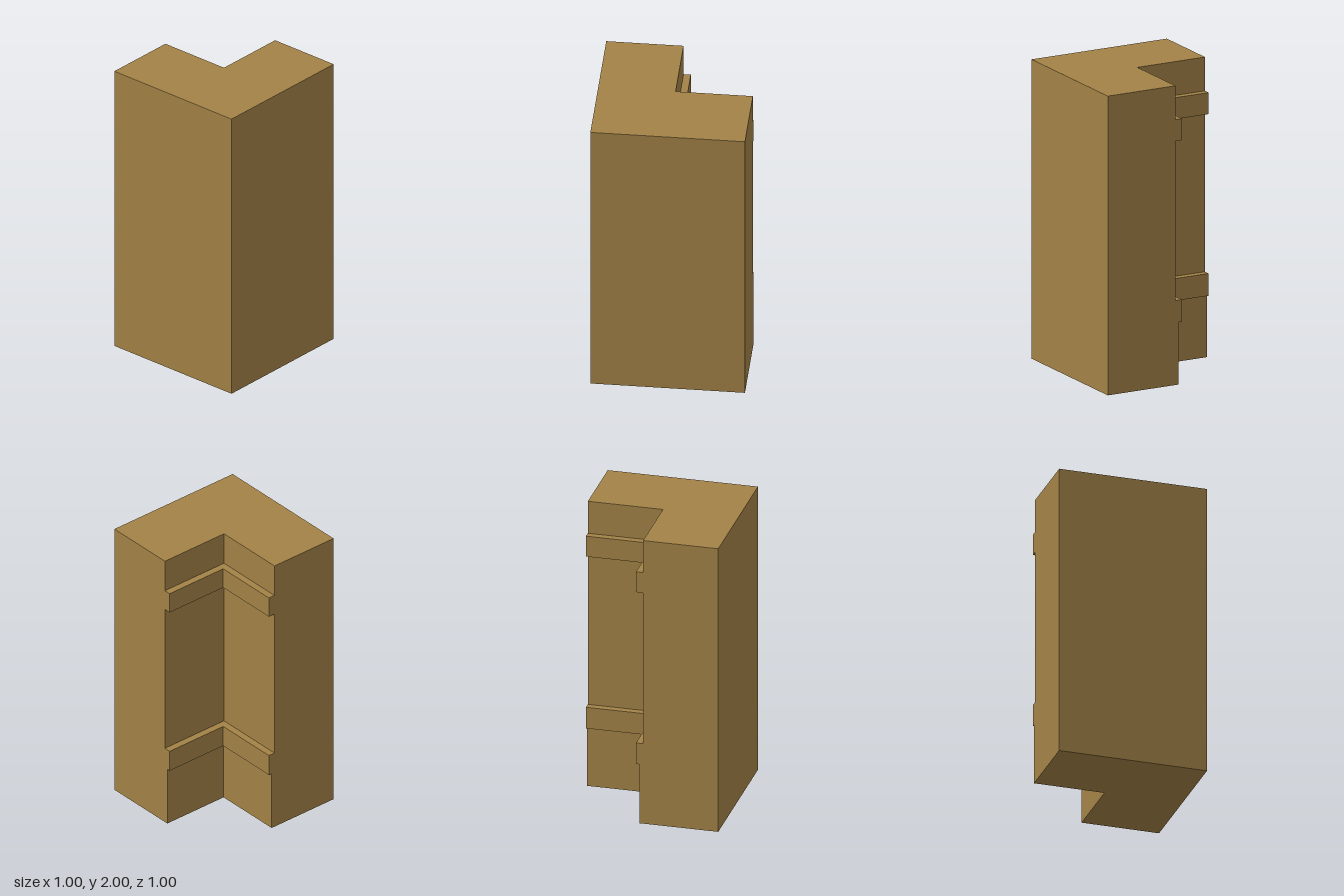
import * as THREE from 'three';

// L-shaped plan; d is how far the inner faces stand out into the corner
const plan = (y, d) => [
  [-0.5, -0.5], [d, -0.5], [d, -d], [0.5, -d], [0.5, 0.5], [-0.5, 0.5],
].map(([x, z]) => [x, y, z]);

// Tiers from the floor up: [bottom, top, d]
const tiers = [
  [0, 0.416, 0.024],     // plinth
  [0.416, 0.565, 0.047], // lower band
  [0.565, 1.63, 0],      // shaft
  [1.63, 1.774, 0.047],  // upper band
  [1.774, 2, 0],         // head
];

function pillarGeometry() {
  const pos = [];
  const tri = (a, b, c) => pos.push(...a, ...b, ...c);
  const quad = (lo, hi, i) => {
    const j = (i + 1) % 6;
    tri(lo[i], hi[i], hi[j]);
    tri(lo[i], hi[j], lo[j]);
  };
  let below = null;
  for (const [y0, y1, d] of tiers) {
    const lo = plan(y0, d), hi = plan(y1, d);
    // Ledges where the inner faces step in or out
    if (below) [1, 2].forEach((i) => quad(below, lo, i));
    // Walls
    for (let i = 0; i < 6; i++) quad(lo, hi, i);
    below = hi;
  }
  // End caps, fanned from the inner corner
  const foot = plan(0, tiers[0][2]);
  for (const [i, j] of [[3, 4], [4, 5], [5, 0], [0, 1]]) {
    tri(foot[2], foot[i], foot[j]);
    tri(below[2], below[j], below[i]);
  }
  const geo = new THREE.BufferGeometry();
  geo.setAttribute('position', new THREE.Float32BufferAttribute(pos, 3));
  geo.computeVertexNormals();
  return geo;
}

export function createModel() {
  const group = new THREE.Group();
  group.name = 'cornerPillar';
  const wood = new THREE.MeshStandardMaterial({ color: 0xa28246 });
  wood.name = 'ochre';
  const body = new THREE.Mesh(pillarGeometry(), wood);
  body.name = 'bandedCornerPost';
  group.add(body);
  return group;
}
